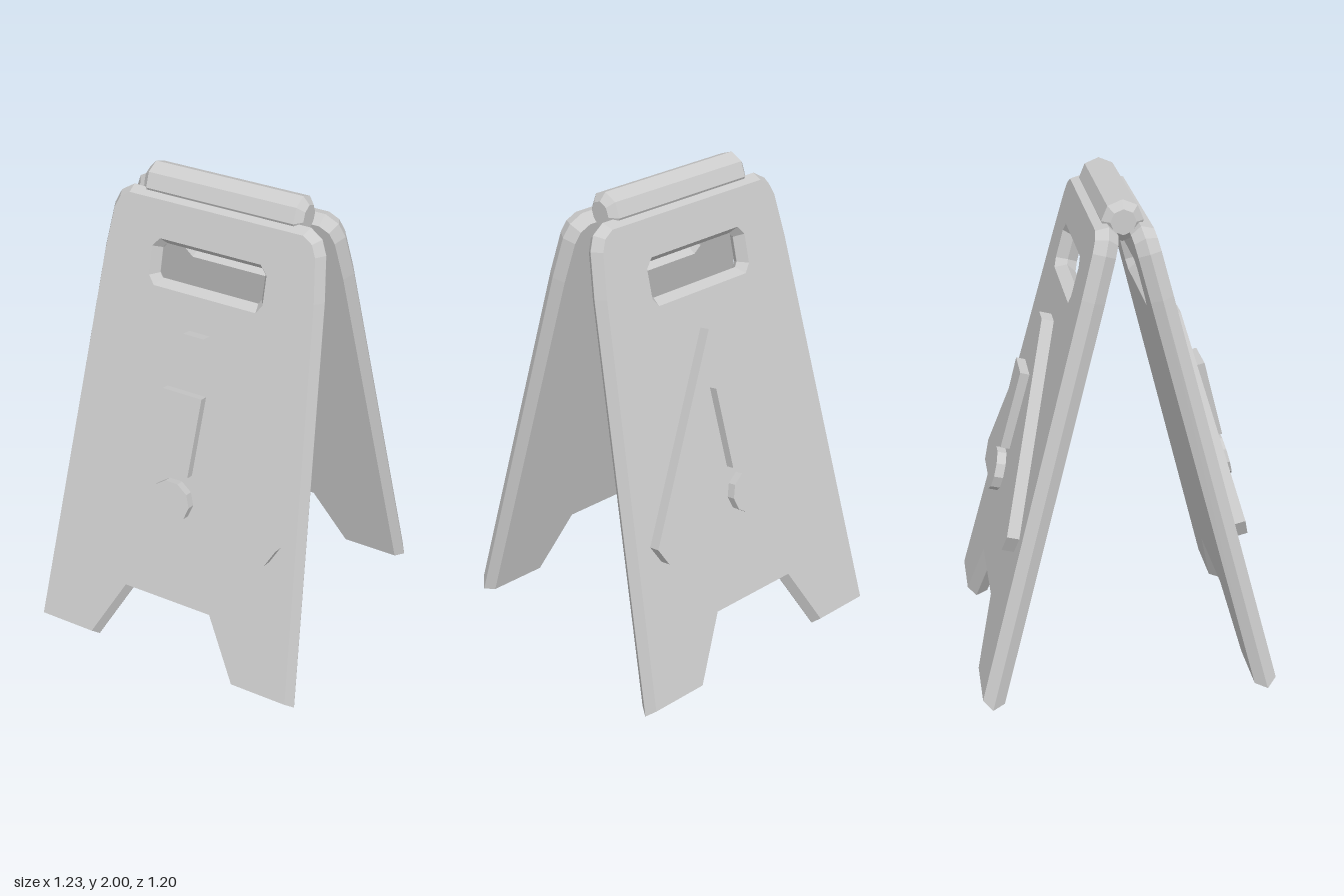
import * as THREE from 'three';

const LEAN = 0.2566, FOOT_Y = 0.035, FOOT_Z = 0.6;
const grey = new THREE.MeshStandardMaterial({ color: 0xcccccc, flatShading: true });

// Half outline (x >= 0, height above ground) -> full mirrored outline on the leaning plane, at the given depth off its face
function outline(half, depth = 0, Type = THREE.Shape) {
  const right = half.map(([x, y]) =>
    new THREE.Vector2(x, (y - FOOT_Y - depth * Math.sin(LEAN)) / Math.cos(LEAN)));
  const left = right.map(p => new THREE.Vector2(-p.x, p.y)).reverse();
  return new Type([...right, ...left]);
}

function part(name, geometry) {
  const mesh = new THREE.Mesh(geometry, grey);
  mesh.name = name;
  return mesh;
}

function plate(name, shape, from, to) {
  const geo = new THREE.ExtrudeGeometry(shape, { depth: to - from, bevelEnabled: false });
  return part(name, geo.translate(0, 0, from));
}

function makeLeaf(name) {
  const leaf = new THREE.Group();
  leaf.name = name;

  // Board with leg cut-out, grip hole and a ridge around every edge
  const board = outline([
    [0.20, 0.30], [0.34, 0.035], [0.587, 0.035], [0.457, 1.66],
    [0.435, 1.83], [0.415, 1.875], [0.375, 1.9],
  ]);
  board.holes.push(outline([
    [0.225, 1.57], [0.25, 1.605], [0.25, 1.72], [0.22, 1.755],
  ], 0, THREE.Path));
  const boardGeo = new THREE.ExtrudeGeometry(board, {
    depth: 0.002, bevelThickness: 0.044, bevelSize: 0.025, bevelSegments: 1,
  });
  leaf.add(part('board', boardGeo.translate(0, 0, -0.046)));

  // Raised warning triangle
  leaf.add(plate('triangle', outline([
    [0.43, 0.625], [0.47, 0.70], [0.045, 1.445],
  ], 0.05), -0.01, 0.05));

  // Exclamation mark: tapered bar and round dot
  leaf.add(plate('markBar', outline([[0.068, 0.905], [0.087, 1.235]], 0.088), 0.04, 0.088));
  const dot = new THREE.CylinderGeometry(0.09, 0.09, 0.048, 10, 1, false, Math.PI / 10);
  const dotY = (0.785 - FOOT_Y - 0.088 * Math.sin(LEAN)) / Math.cos(LEAN);
  leaf.add(part('markDot', dot.rotateX(Math.PI / 2).translate(0, dotY, 0.064)));

  leaf.rotation.x = -LEAN;
  leaf.position.set(0, FOOT_Y, FOOT_Z);
  return leaf;
}

export function createModel() {
  const model = new THREE.Group();
  model.name = 'floorSign';

  // Two leaves, the rear one turned half way round
  const front = new THREE.Group();
  front.name = 'frontLeaf';
  front.add(makeLeaf('frontPanel'));
  const back = new THREE.Group();
  back.name = 'backLeaf';
  back.add(makeLeaf('backPanel'));
  back.rotation.y = Math.PI;
  model.add(front, back);

  // Eight-sided hinge bar with chamfered ends
  const profile = [[0, -0.345], [0.05, -0.345], [0.081, -0.318], [0.081, 0.318], [0.05, 0.345], [0, 0.345]]
    .map(([r, x]) => new THREE.Vector2(r, x));
  const hinge = part('hingeBar', new THREE.LatheGeometry(profile, 8).rotateZ(Math.PI / 2));
  hinge.position.y = 1.919;
  model.add(hinge);

  return model;
}
